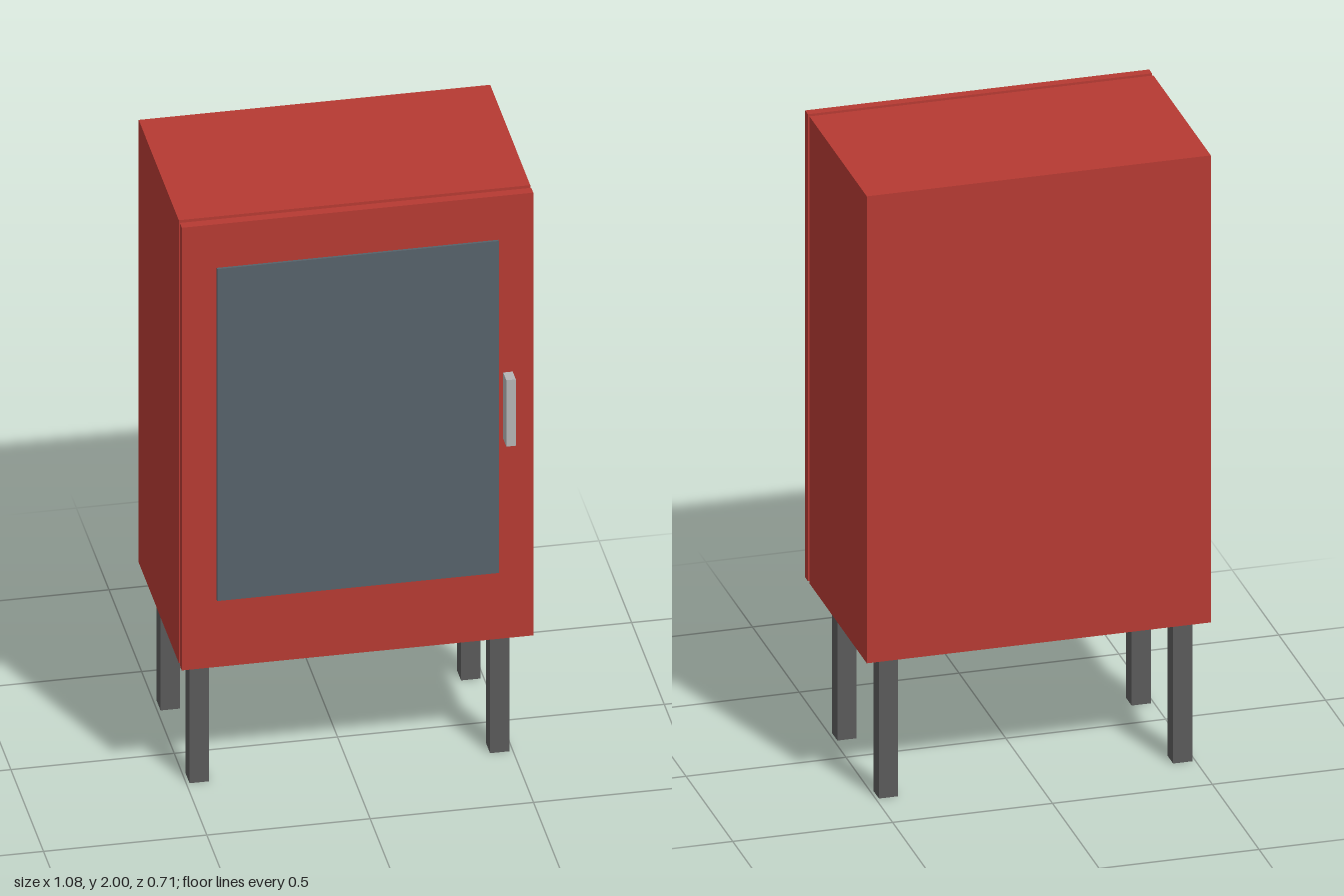
import * as THREE from 'three';

const material = (color) => new THREE.MeshStandardMaterial({ color });

// Box given by its minimum and maximum corners
function box(name, min, max, mat) {
  const size = max.map((v, i) => v - min[i]);
  const mesh = new THREE.Mesh(new THREE.BoxGeometry(...size), mat);
  mesh.position.set(...max.map((v, i) => (v + min[i]) / 2));
  mesh.name = name;
  return mesh;
}

export function createModel() {
  const cabinet = new THREE.Group();
  cabinet.name = 'cabinet';
  const red = material(0xb53a32);
  const glass = material(0x56626a);
  const legGrey = material(0x5a5a5a);
  const handleGrey = material(0xb4b4b4);

  const bottom = 0.465;
  const halfWidth = 0.538;

  // Cabinet body
  cabinet.add(box('body', [-halfWidth, bottom, -0.354], [halfWidth, 2, 0.26], red));

  // Door hung just in front of the body, with window and handle
  const door = new THREE.Group();
  door.name = 'door';
  door.add(
    box('doorPanel', [-halfWidth, bottom, 0.276], [halfWidth, 2, 0.306], red),
    box('window', [-0.431, 0.698, 0.306], [0.431, 1.849, 0.314], glass),
    box('handle', [0.446, 1.157, 0.306], [0.475, 1.387, 0.354], handleGrey),
  );
  cabinet.add(door);

  // Four square legs
  for (const [side, x] of [['Right', -0.46], ['Left', 0.46]]) {
    for (const [end, z] of [['front', 0.155], ['back', -0.29]]) {
      cabinet.add(box(`${end}${side}Leg`, [x - 0.03, 0, z - 0.03], [x + 0.03, bottom, z + 0.03], legGrey));
    }
  }
  return cabinet;
}
